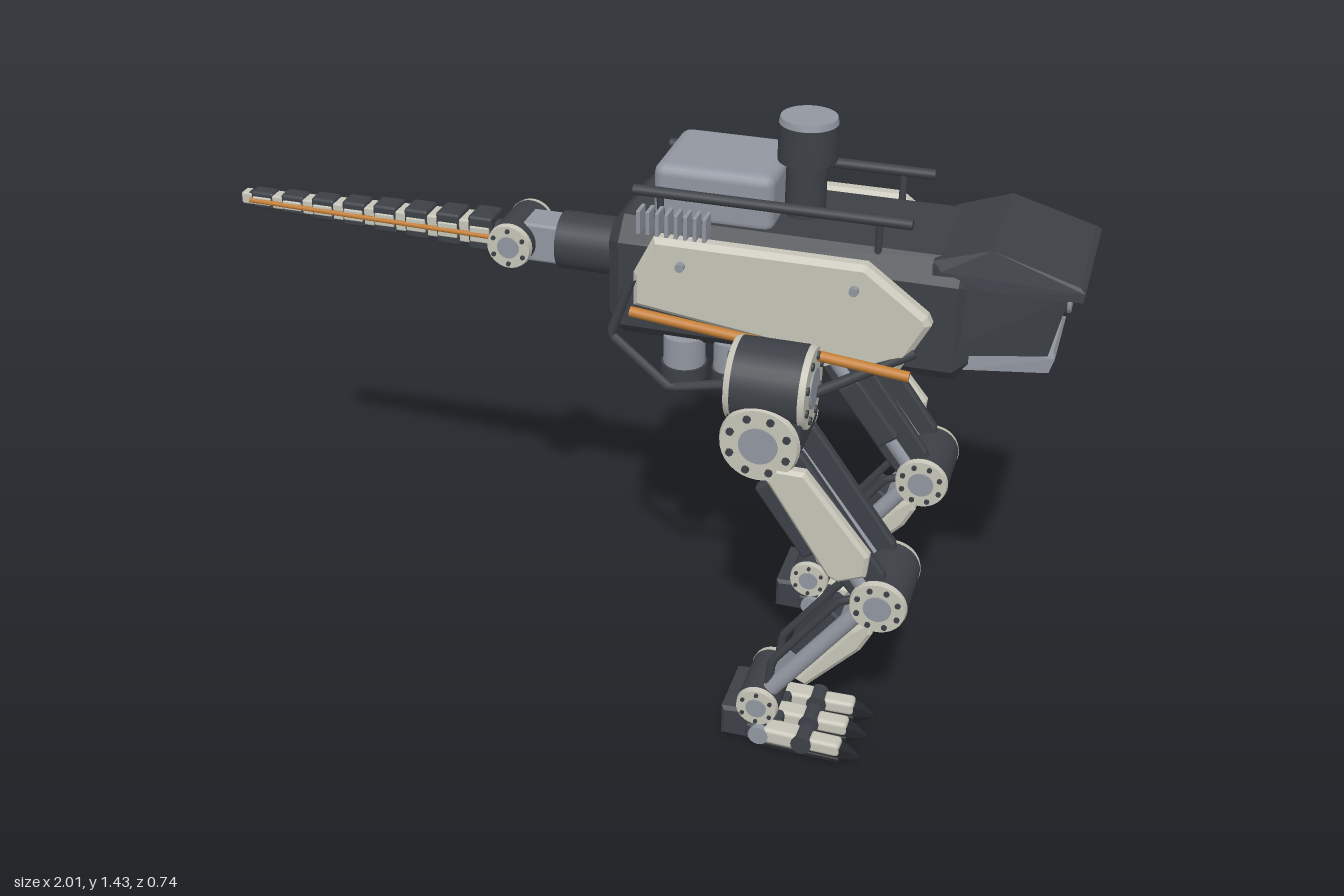
import * as THREE from 'three';
import { RoundedBoxGeometry } from 'three/addons/geometries/RoundedBoxGeometry.js';
import { ConvexGeometry } from 'three/addons/geometries/ConvexGeometry.js';

const mat = (name, color) => Object.assign(new THREE.MeshStandardMaterial({ color }), { name });
const V = (x, y, z) => new THREE.Vector3(x, y, z);

export function createModel() {
  const dark = mat('darkMetal', 0x3c4046), grey = mat('greyMetal', 0x9196a0);
  const shell = mat('paleShell', 0xc6c4b8), orange = mat('orangeCable', 0xc47e34);
  const black = mat('blackRubber', 0x24272b);
  const model = new THREE.Group();
  model.name = 'walkingRobot';

  const add = (parent, name, geo, material, x = 0, y = 0, z = 0) => {
    const m = new THREE.Mesh(geo, material);
    m.name = name;
    m.position.set(x, y, z);
    parent.add(m);
    return m;
  };
  const box = (p, name, m, x, y, z, w, h, d, r = 0.008) =>
    add(p, name, new RoundedBoxGeometry(w, h, d, 2, Math.min(r, w / 2.1, h / 2.1, d / 2.1)), m, x, y, z);
  // Round bar between two points
  const bar = (p, name, m, a, b, r, r2 = r, sides = 20) => {
    const d = b.clone().sub(a), mid = a.clone().add(b).multiplyScalar(0.5);
    const o = add(p, name, new THREE.CylinderGeometry(r2, r, d.length(), sides), m, mid.x, mid.y, mid.z);
    o.quaternion.setFromUnitVectors(V(0, 1, 0), d.normalize());
    return o;
  };
  // Outline in x/y, bevelled and centred on z
  const plate = (p, name, m, pts, z, depth, bevel = 0.008) => {
    const shape = new THREE.Shape(pts.map(([x, y]) => new THREE.Vector2(x, y)));
    const geo = new THREE.ExtrudeGeometry(shape, {
      depth: depth - 2 * bevel, bevelThickness: bevel, bevelSize: bevel, bevelOffset: -bevel, bevelSegments: 1,
    });
    geo.translate(0, 0, bevel - depth / 2);
    return add(p, name, geo, m, 0, 0, z);
  };
  const pipe = (p, name, m, pts, r) => {
    const path = new THREE.CurvePath();
    for (let i = 1; i < pts.length; i++) path.add(new THREE.LineCurve3(pts[i - 1], pts[i]));
    return add(p, name, new THREE.TubeGeometry(path, 24, r, 8), m);
  };
  const hull = (p, name, m, pts) => add(p, name,
    new ConvexGeometry(pts.flatMap(([x, y, z]) => [V(x, y, z), V(x, y, -z)])), m);
  // Motor joint along z: drum, bolted caps and hubs
  const joint = (p, name, x, y, z, r, len, bolts = 8) => {
    const g = new THREE.Group();
    g.name = name;
    g.position.set(x, y, z);
    p.add(g);
    bar(g, 'drum', dark, V(0, 0, -len / 2 + 0.015), V(0, 0, len / 2 - 0.015), r * 0.98, r * 0.98, 32);
    for (const s of [-1, 1]) {
      const at = (px, py, d) => V(px, py, s * (len / 2 + d));
      bar(g, 'cap', shell, at(0, 0, -0.018), at(0, 0, -0.004), r, r * 0.95, 32);
      bar(g, 'hub', grey, at(0, 0, -0.005), at(0, 0, 0), r * 0.48, r * 0.48, 24);
      for (let i = 0; i < bolts; i++) {
        const a = (i + 0.5) / bolts * Math.PI * 2, c = Math.cos(a) * r * 0.75, q = Math.sin(a) * r * 0.75;
        bar(g, 'bolt', dark, at(c, q, -0.006), at(c, q, 0.001), r * 0.1, r * 0.1, 8);
      }
    }
    return g;
  };

  // Body: chamfered section swept along x
  const body = plate(model, 'body', dark, [[-0.13, 0.92], [0.13, 0.92], [0.175, 0.96], [0.175, 1.16],
    [0.13, 1.21], [-0.13, 1.21], [-0.175, 1.16], [-0.175, 0.96]], 0, 0.805, 0.03);
  body.rotation.y = Math.PI / 2;
  body.position.x = 0.3675;

  // Head
  hull(model, 'head', dark, [[0.68, 1.2, 0.16], [0.965, 1.165, 0.155], [0.935, 1.02, 0.15], [0.7, 0.99, 0.165]]);
  hull(model, 'hood', dark, [[0.68, 1.205, 0.15], [0.8, 1.247, 0.155], [0.985, 1.192, 0.16],
    [0.997, 1.182, 0.168], [0.995, 1.163, 0.17], [0.8, 1.16, 0.172], [0.7, 1.19, 0.168]]);
  hull(model, 'jaw', grey, [[0.75, 1.01, 0.135], [0.945, 1.025, 0.135], [0.95, 1.01, 0.14],
    [0.94, 0.975, 0.14], [0.75, 0.952, 0.14]]);

  // Top pack and sensor mast
  box(model, 'topPack', grey, 0.19, 1.262, 0, 0.27, 0.136, 0.24, 0.025);
  bar(model, 'mastPost', dark, V(0.37, 1.19, 0), V(0.37, 1.34, 0), 0.045, 0.045, 28);
  bar(model, 'mastHead', dark, V(0.37, 1.335, 0), V(0.37, 1.42, 0), 0.065, 0.065, 32);
  bar(model, 'mastCap', grey, V(0.37, 1.42, 0), V(0.37, 1.434, 0), 0.065, 0.062, 32);

  // Tail base and joint
  const ty = 1.065;
  bar(model, 'tailBase', dark, V(-0.195, ty, 0), V(-0.02, ty, 0), 0.067, 0.067, 28);
  box(model, 'tailYoke', grey, -0.23, ty, 0, 0.11, 0.095, 0.09);
  joint(model, 'tailJoint', -0.3, ty, 0, 0.054, 0.175, 6);
  // Tapered tail segments
  bar(model, 'tailCore', dark, V(-0.99, ty, 0), V(-0.3, ty, 0), 0.012, 0.028, 12);
  for (let i = 0; i < 8; i++) {
    const t = i / 7, x = -0.388 - i * 0.0815, h = 0.043 - 0.021 * t;
    box(model, 'tailSegment', dark, x, ty, 0, 0.06, h * 2, h * 1.75);
    box(model, 'tailCollar', shell, x - 0.04, ty, 0, 0.034, h * 1.35, h * 1.5, 0.005);
    for (const s of [-1, 1])
      box(model, 'tailSidePlate', shell, x, ty, s * h * 0.88, 0.048, h * 0.9, 0.009, 0.003);
  }
  box(model, 'tailTip', dark, -0.99, ty, 0, 0.02, 0.034, 0.032);
  for (const s of [-1, 1])
    bar(model, 'tailCable', orange, V(-0.99, ty, s * 0.022), V(-0.34, ty, s * 0.043), 0.006, 0.006, 8);

  for (const s of [-1, 1]) {
    const P = (x, y, z) => V(x, y, s * z);
    bar(model, 'eyeRim', dark, P(0.925, 1.127, 0.08), P(0.96, 1.127, 0.08), 0.04, 0.038, 24);
    bar(model, 'eyeLens', grey, P(0.95, 1.127, 0.08), P(0.968, 1.127, 0.08), 0.034, 0.03, 24);

    // Side armour
    plate(model, 'sidePanel', shell, [[0.04, 1.03], [0.63, 0.955], [0.695, 1.08], [0.685, 1.1], [0.55, 1.2],
      [0.085, 1.2], [0.04, 1.11]], s * 0.192, 0.046, 0.012);
    for (const x of [0.15, 0.53])
      bar(model, 'panelBolt', grey, P(x, 1.145, 0.21), P(x, 1.145, 0.23), 0.01, 0.01, 10);
    bar(model, 'sideCable', orange, P(0.04, 1.025, 0.228), P(0.66, 0.965, 0.228), 0.012, 0.012, 10);
    pipe(model, 'rearStrut', dark, [P(0.04, 1.1, 0.215), P(-0.01, 0.955, 0.215), P(0.14, 0.87, 0.262),
      P(0.3, 0.9, 0.25)], 0.011);
    bar(model, 'frontStrut', dark, P(0.665, 1.01, 0.2), P(0.44, 0.885, 0.24), 0.012);

    // Roof rail, cooling fins and belly pods
    bar(model, 'roofRail', dark, P(0.02, 1.275, 0.138), P(0.63, 1.275, 0.138), 0.012, 0.012, 12);
    for (const x of [0.08, 0.56]) bar(model, 'railPost', dark, P(x, 1.18, 0.132), P(x, 1.275, 0.138), 0.008);
    for (let i = 0; i < 8; i++)
      box(model, 'coolingFin', grey, 0.05 + i * 0.021, 1.228, s * 0.183, 0.009, 0.055, 0.042, 0.002);
    for (const [x, r] of [[0.135, 0.053], [0.24, 0.04]]) {
      bar(model, 'bellyPod', grey, P(x, 0.86, 0.125), P(x, 0.935, 0.125), r * 0.9, r * 0.9, 24);
      bar(model, 'bellyPodRim', dark, P(x, 0.833, 0.125), P(x, 0.865, 0.125), r, r, 24);
    }

    // Hip, knee and ankle motors
    const z = s * 0.266;
    joint(model, 'hipRoll', 0.375, 0.925, z, 0.095, 0.185).rotation.y = Math.PI / 2;
    box(model, 'hipBracket', dark, 0.375, 0.86, z, 0.165, 0.13, 0.16);
    joint(model, 'hipPitch', 0.37, 0.82, z, 0.09, 0.205);
    joint(model, 'knee', 0.65, 0.45, z, 0.065, 0.195);
    joint(model, 'ankle', 0.385, 0.105, z, 0.05, 0.185, 6);

    // Thigh: twin beams, outer shell and inner actuator
    for (const k of [0.205, 0.328]) {
      plate(model, 'thighBeam', dark, [[0.36, 0.76], [0.46, 0.8], [0.655, 0.53], [0.67, 0.46], [0.61, 0.43], [0.55, 0.5]],
        s * k, 0.026, 0.005);
      bar(model, 'thighRod', grey, P(0.39, 0.78, k), P(0.62, 0.475, k), 0.021);
    }
    plate(model, 'thighShell', shell, [[0.39, 0.735], [0.41, 0.77], [0.475, 0.77], [0.625, 0.585], [0.62, 0.53],
      [0.56, 0.505], [0.535, 0.515]], s * 0.352, 0.034, 0.008);
    box(model, 'thighActuator', dark, 0.438, 0.64, s * 0.345, 0.045, 0.2, 0.03).rotation.z = 0.62;
    box(model, 'innerActuator', dark, 0.51, 0.625, s * 0.182, 0.06, 0.18, 0.03).rotation.z = 0.65;

    // Shin: twin rods, front guard, rear actuator and linkage
    for (const k of [0.215, 0.317]) {
      bar(model, 'shinRod', grey, P(0.63, 0.44, k), P(0.39, 0.115, k), 0.02);
      pipe(model, 'shinLinkage', dark, [P(0.6, 0.44, k), P(0.555, 0.42, k), P(0.41, 0.22, k), P(0.4, 0.11, k)], 0.01);
    }
    box(model, 'shinCore', grey, 0.515, 0.275, z, 0.04, 0.32, 0.07).rotation.z = -0.64;
    box(model, 'shinActuator', dark, 0.51, 0.305, z, 0.055, 0.16, 0.085).rotation.z = -0.64;
    plate(model, 'shinGuard', shell, [[0.585, 0.345], [0.625, 0.375], [0.635, 0.34], [0.61, 0.29], [0.49, 0.16],
      [0.46, 0.175]], z, 0.098, 0.01);

    // Foot with three jointed toes
    plate(model, 'heel', dark, [[0.3, 0.005], [0.41, 0.005], [0.41, 0.06], [0.36, 0.09], [0.3, 0.085]], z, 0.17, 0.008);
    box(model, 'footBase', dark, 0.4, 0.032, z, 0.08, 0.045, 0.18);
    for (const k of [-1, 0, 1]) {
      const toe = new THREE.Group();
      toe.name = 'toe';
      toe.position.set(0.4, 0, z + k * 0.073);
      toe.rotation.y = -k * 0.03;
      model.add(toe);
      box(toe, 'toeSole', black, 0.09, 0.008, 0, 0.2, 0.014, 0.046, 0.004);
      box(toe, 'toeBase', shell, 0.045, 0.034, 0, 0.085, 0.042, 0.05, 0.01);
      for (const x of [-0.005, 0.098])
        bar(toe, 'toeJoint', x < 0 ? grey : dark, V(x, 0.033, -0.027), V(x, 0.033, 0.027), 0.024, 0.024, 16);
      box(toe, 'toeTip', shell, 0.15, 0.032, 0, 0.075, 0.036, 0.042, 0.01);
      hull(toe, 'claw', black, [[0.175, 0.04, 0.017], [0.175, 0.006, 0.017], [0.205, 0.034, 0.013],
        [0.233, 0.016, 0.003], [0.23, 0.01, 0.003]]);
    }
  }
  return model;
}
